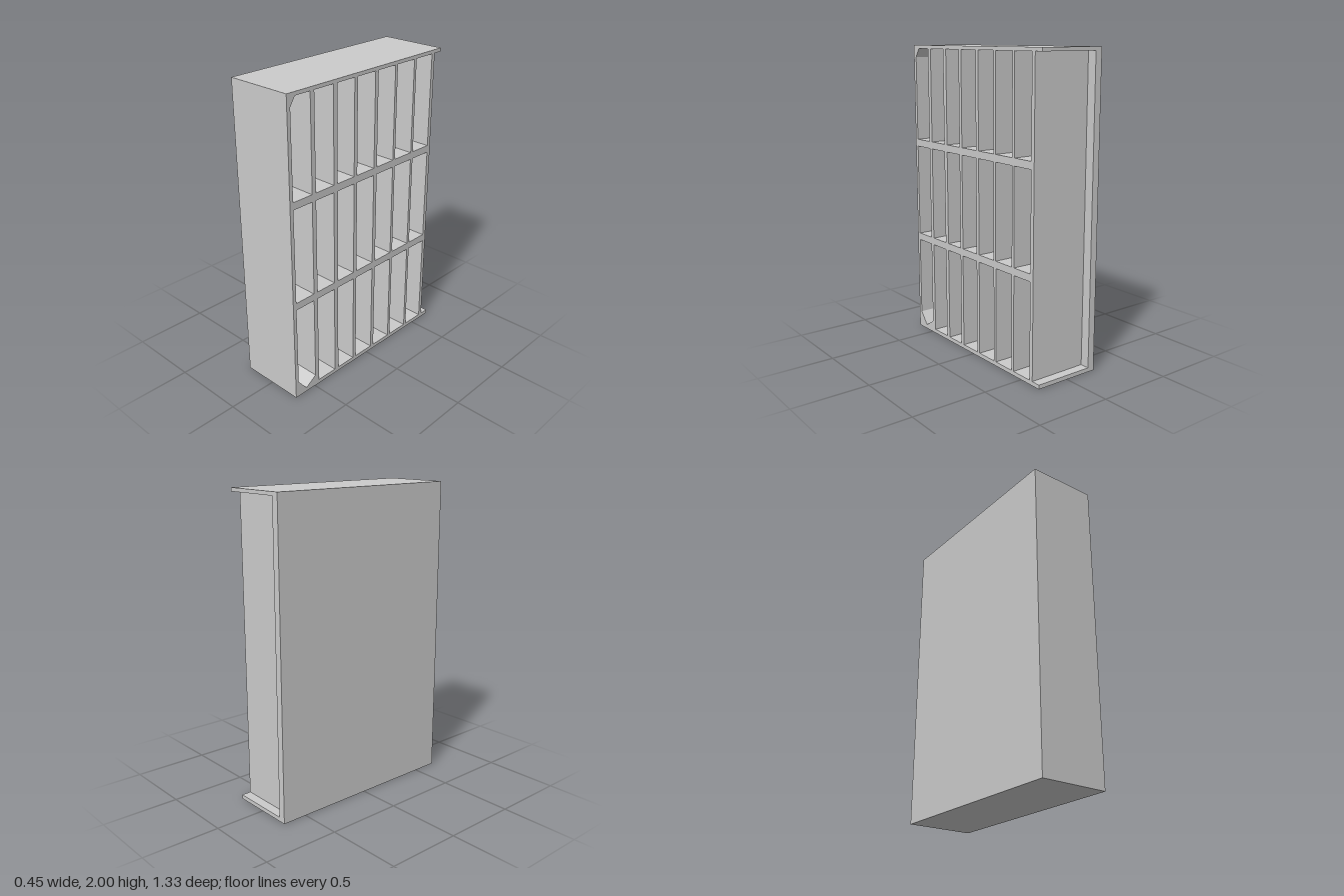
import * as THREE from 'three';

const material = new THREE.MeshStandardMaterial({ color: 0xcccccc, flatShading: true });

// Compartment edges along z (front to rear) and tier edges along y
const cells = [[0.642, 0.493], [0.462, 0.313], [0.281, 0.138], [0.111, -0.042],
  [-0.069, -0.223], [-0.244, -0.403], [-0.424, -0.578]];
const tiers = [[0.027, 0.647], [0.695, 1.315], [1.363, 1.977]];
const X0 = -0.225, X1 = 0.225, XB = -0.178; // back face, open face, inside of back panel
const Z = 0.667, END = -0.605;

// Board spanning two opposite corners
function board(name, x0, x1, y0, y1, z0, z1) {
  const mesh = new THREE.Mesh(new THREE.BoxGeometry(x1 - x0, y1 - y0, z1 - z0), material);
  mesh.position.set((x0 + x1) / 2, (y0 + y1) / 2, (z0 + z1) / 2);
  mesh.name = name;
  return mesh;
}

// Corner filler: [z, y] outline run through the depth of the compartment
function filler(name, points) {
  const shape = new THREE.Shape(points.map(([z, y]) => new THREE.Vector2(-z, y)));
  const geometry = new THREE.ExtrudeGeometry(shape, { depth: X1 - XB, bevelEnabled: false });
  geometry.rotateY(Math.PI / 2).translate(XB, 0, 0);
  const mesh = new THREE.Mesh(geometry, material);
  mesh.name = name;
  return mesh;
}

export function createModel() {
  const group = new THREE.Group();
  group.name = 'compartmentRack';
  const top = tiers[2][1], bottom = tiers[0][0];

  // Outer case; back, top and bottom overhang the rear side panel
  group.add(
    board('backPanel', X0, XB, 0, 2, -Z, Z),
    board('topPanel', XB, X1, top, 2, -Z, Z),
    board('bottomPanel', XB, X1, 0, bottom, -Z, Z),
    board('frontSidePanel', XB, X1, bottom, top, cells[0][0], Z),
    board('rearSidePanel', XB, X1, bottom, top, END, cells[6][1])
  );

  // Horizontal shelves between tiers
  for (let i = 0; i < 2; i++) {
    group.add(board('shelf', XB, X1, tiers[i][1], tiers[i + 1][0], cells[6][1], cells[0][0]));
  }

  // Upright dividers in every tier
  for (const [y0, y1] of tiers) {
    for (let i = 0; i < 6; i++) {
      group.add(board('divider', XB, X1, y0, y1, cells[i + 1][0], cells[i][1]));
    }
  }

  // Sloped corners of the foremost compartments
  group.add(
    filler('topCornerFiller', [[0.642, 1.92], [0.642, 1.977], [0.605, 1.977]]),
    filler('bottomCornerFiller', [[0.642, 0.027], [0.642, 0.11], [0.575, 0.027]]),
    filler('bottomCornerFiller', [[0.575, 0.027], [0.493, 0.08], [0.493, 0.027]])
  );
  return group;
}
